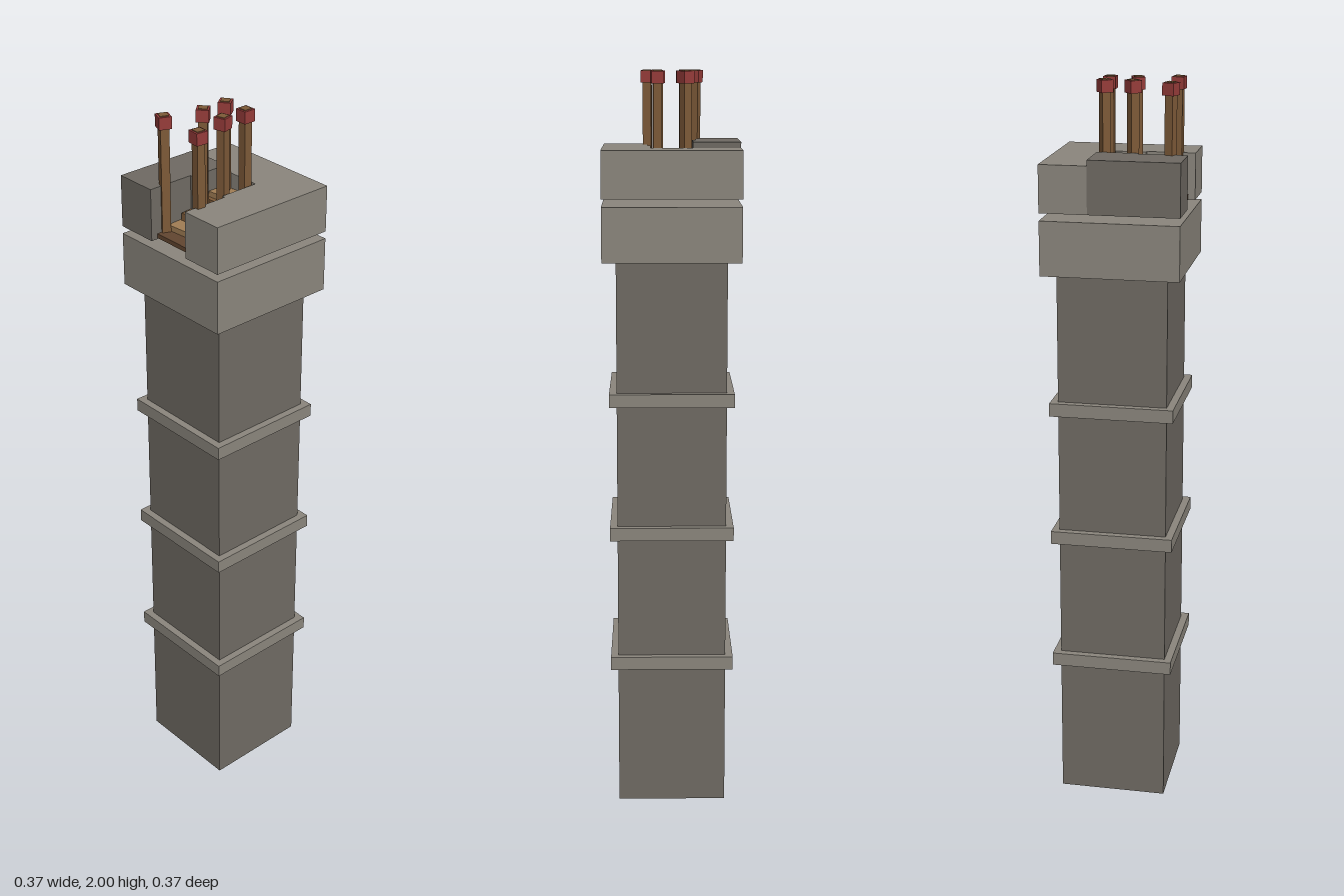
import * as THREE from 'three';

const paint = (color) => new THREE.MeshStandardMaterial({ color, flatShading: true });

export function createModel() {
  const model = new THREE.Group();
  const lightStone = paint(0x8b867d), darkStone = paint(0x6f6a63);
  const wood = paint(0x7d5a38), paleWood = paint(0xa07d54), darkWood = paint(0x624630), red = paint(0x963c3a);

  const add = (name, geometry, material) => {
    const mesh = new THREE.Mesh(geometry, material);
    mesh.name = name;
    model.add(mesh);
    return mesh;
  };
  // Box between two heights
  const block = (name, w, d, y0, y1, material, x = 0, z = 0, turn = 0) => {
    const mesh = add(name, new THREE.BoxGeometry(w, y1 - y0, d), material);
    mesh.position.set(x, (y0 + y1) / 2, z);
    mesh.rotation.y = THREE.MathUtils.degToRad(turn);
    return mesh;
  };
  // Floor plan of [x, z] corners raised between two heights
  const raisedPlan = (name, corners, y0, y1, material) => {
    const shape = new THREE.Shape(corners.map(([x, z]) => new THREE.Vector2(x, -z)));
    const geometry = new THREE.ExtrudeGeometry(shape, { depth: y1 - y0, bevelEnabled: false });
    geometry.rotateX(-Math.PI / 2).translate(0, y0, 0);
    return add(name, geometry, material);
  };

  // Square shaft, its bands and the capital
  block('shaft', 0.294, 0.294, 0, 1.51, darkStone);
  for (const y of [0.39, 0.757, 1.124]) block('band', 0.334, 0.334, y, y + 0.036, lightStone);
  block('capital', 0.367, 0.367, 1.51, 1.655, lightStone);

  // Upper parapet with a stepped notch open to the front; one corner is darker and taller
  const h = 0.1835;
  raisedPlan('parapet', [
    [-h, -h], [h, -h], [h, h], [0.064, h], [0.064, 0.053], [0.055, 0.053], [0.055, -0.057], [-h, -0.057],
  ], 1.675, 1.8, lightStone);
  raisedPlan('cornerParapet', [
    [-h, -0.057], [-0.057, -0.057], [-0.057, 0.053], [-0.066, 0.053], [-0.066, h], [-h, h],
  ], 1.675, 1.815, darkStone);

  // Slightly skewed wooden steps in the notch: front and back edge, top height
  const steps = [
    [0.1, 0.165, 1.69, darkWood, 0],
    [0.07, 0.126, 1.705, paleWood, 4],
    [0.0, 0.083, 1.725, wood, 5.5],
    [-0.03, 0.008, 1.745, wood, 5],
    [-0.057, -0.005, 1.76, paleWood, 5],
  ];
  for (const [z0, z1, top, material, turn] of steps) {
    block('step', 0.13, z1 - z0, 1.678, top, material, 0, (z0 + z1) / 2, turn);
  }

  // Square posts with red collars at the top: x, z, turn
  const posts = [
    [-0.037, -0.039, 36], [0.036, -0.039, 0],
    [-0.037, 0.035, 42], [0.036, 0.035, 15],
    [-0.066, 0.138, -22], [0.064, 0.138, -5],
  ];
  for (const [x, z, turn] of posts) {
    block('post', 0.023, 0.023, 1.678, 2.0, wood, x, z, turn);
    block('postCap', 0.033, 0.033, 1.966, 1.998, red, x, z, turn);
  }
  return model;
}
